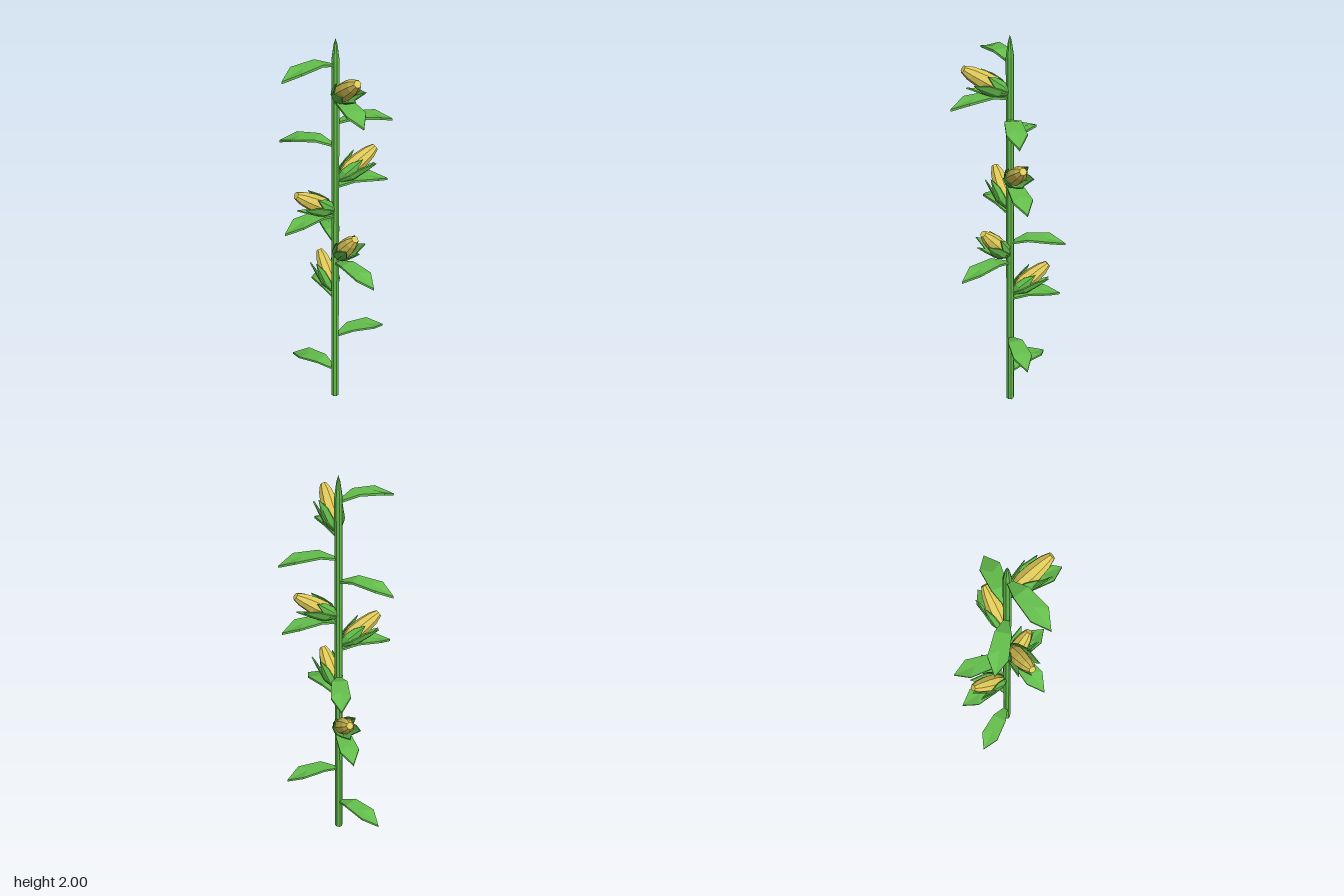
import * as THREE from 'three';

const green = new THREE.MeshStandardMaterial({ name: 'leafGreen', color: 0x64be4c, flatShading: true, side: THREE.DoubleSide });
const yellow = new THREE.MeshStandardMaterial({ name: 'kernelYellow', color: 0xdfca58, flatShading: true });

const STEM_X = 0.012;

// Thick pointed blade along +z. Each row: [along, height, halfWidth, midLift, midShift]
function bladeGeometry(rows, thickness) {
  const pos = [], index = [];
  for (const [z, y, w, lift, shift] of rows) {
    const b = y - thickness;
    pos.push(w, y, z, 0, y + lift, z + shift, -w, y, z);
    pos.push(-w, b, z, 0, b + lift, z + shift, w, b, z);
  }
  for (let i = 0; i < rows.length - 1; i++) {
    for (let j = 0; j < 6; j++) {
      const a = i * 6 + j, b = i * 6 + (j + 1) % 6;
      index.push(a, b, a + 6, b, b + 6, a + 6);
    }
  }
  const indexed = new THREE.BufferGeometry();
  indexed.setAttribute('position', new THREE.Float32BufferAttribute(pos, 3));
  indexed.setIndex(index);
  const g = indexed.toNonIndexed();
  g.computeVertexNormals();
  return g;
}

// Long arching leaf
const LEAF_REACH = 0.272;
const leafGeo = bladeGeometry([
  [0.01, 0, 0.01, 0, 0],
  [0.085, 0.026, 0.038, 0, 0],
  [0.2, 0.014, 0.047, 0.004, -0.035],
  [LEAF_REACH, -0.021, 0, 0, 0],
], 0.011);

// Cupped husk blade, stood up along +y and leaning outwards to -z
const huskGeo = bladeGeometry([
  [0, 0.014, 0.013, 0.004, 0],
  [0.05, 0.04, 0.03, 0.01, 0],
  [0.115, 0.053, 0.026, 0.008, 0],
  [0.18, 0.07, 0, 0, 0],
], 0.006).rotateX(-Math.PI / 2);

// Cob profile as [radius, fraction of length]
const cobProfile = [[0, 0.1], [0.026, 0.1], [0.042, 0.32], [0.041, 0.58], [0.032, 0.83], [0.017, 1], [0, 1]];

// Leaves: base height and tip position seen from above
const leaves = [
  [0.18, -0.255, -0.06], [0.4, 0.2, -0.2], [0.637, -0.175, -0.185],
  [0.852, 0.26, 0.125], [0.962, -0.132, -0.228], [1.12, -0.15, 0.226],
  [1.275, 0.203, -0.195], [1.49, -0.26, 0.02], [1.605, 0.228, -0.166],
  [1.712, 0.217, 0.185], [1.883, -0.145, 0.225],
];

// Cobs: base height and tip position
const cobs = [
  [0.67, -0.127, 0.8, -0.137], [0.89, 0.142, 1.05, 0.074],
  [1.145, -0.12, 1.275, 0.155], [1.305, 0.155, 1.437, -0.145],
  [1.735, 0.17, 1.87, 0.145],
];

function makeCob([baseY, tx, ty, tz]) {
  const ear = new THREE.Group();
  ear.name = 'ear';
  const out = new THREE.Vector3(tx - STEM_X, 0, tz).normalize();
  const base = new THREE.Vector3(STEM_X, baseY, 0).addScaledVector(out, 0.015);
  const axis = new THREE.Vector3(tx, ty, tz).sub(base);
  const length = axis.length();
  axis.normalize();

  // Local y runs along the cob, local z faces the sky
  const side = new THREE.Vector3().crossVectors(axis, new THREE.Vector3(0, 1, 0)).normalize();
  const up = new THREE.Vector3().crossVectors(side, axis);
  ear.quaternion.setFromRotationMatrix(new THREE.Matrix4().makeBasis(side, axis, up));
  ear.position.copy(base);

  const points = cobProfile.map(([r, t]) => new THREE.Vector2(r, t * length));
  const cob = new THREE.Mesh(new THREE.LatheGeometry(points, 8), yellow);
  cob.name = 'cob';
  ear.add(cob);

  // Green cup at the foot of the cob
  const cup = new THREE.Mesh(new THREE.CylinderGeometry(0.034, 0.014, 0.042, 8, 1, true), green);
  cup.name = 'huskCup';
  cup.position.y = 0.018;
  ear.add(cup);

  // Husk wraps the underside and flanks
  for (const degrees of [-120, -60, 0, 60, 120]) {
    const husk = new THREE.Mesh(huskGeo, green);
    husk.name = 'husk';
    husk.rotation.y = THREE.MathUtils.degToRad(degrees);
    if (Math.abs(degrees) > 100) husk.scale.set(0.85, 0.8, 0.9);
    ear.add(husk);
  }
  return ear;
}

export function createModel() {
  const model = new THREE.Group();
  model.name = 'cornPlant';

  // Stalk with a pointed tip
  const stalkProfile = [[0, 0], [0.02, 0], [0.019, 1.9], [0.009, 1.97], [0, 2]];
  const stalk = new THREE.Mesh(
    new THREE.LatheGeometry(stalkProfile.map(([r, y]) => new THREE.Vector2(r, y)), 8), green);
  stalk.name = 'stalk';
  stalk.position.x = STEM_X;
  model.add(stalk);

  for (const [y, x, z] of leaves) {
    const leaf = new THREE.Mesh(leafGeo, green);
    leaf.name = 'leaf';
    leaf.position.set(STEM_X, y, 0);
    leaf.rotation.y = Math.atan2(x - STEM_X, z);
    leaf.scale.z = Math.hypot(x - STEM_X, z) / LEAF_REACH;
    model.add(leaf);
  }

  for (const cob of cobs) model.add(makeCob(cob));
  return model;
}
